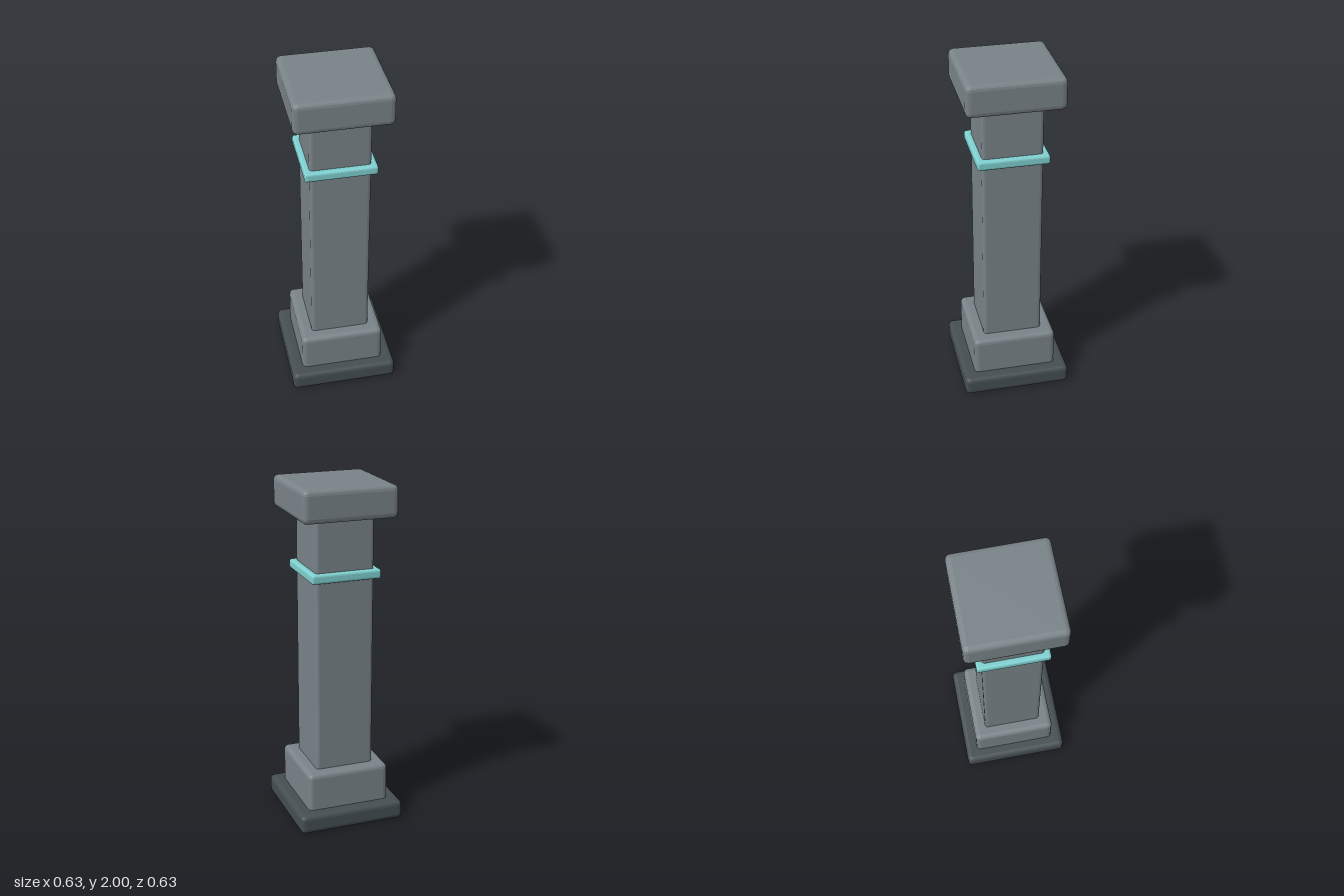
import * as THREE from 'three';
import { RoundedBoxGeometry } from 'three/addons/geometries/RoundedBoxGeometry.js';

function material(name, color) {
  const m = new THREE.MeshStandardMaterial({ color, flatShading: true });
  m.name = name;
  return m;
}

// Square block with bevelled edges, spanning y0..y1
function block(name, width, y0, y1, bevel, mat) {
  const geometry = new RoundedBoxGeometry(width, y1 - y0, width, 2, bevel);
  geometry.computeVertexNormals(); // faceted bevels
  const mesh = new THREE.Mesh(geometry, mat);
  mesh.name = name;
  mesh.position.y = (y0 + y1) / 2;
  return mesh;
}

export function createModel() {
  const stone = material('grey stone', 0x798388);
  const darkStone = material('dark stone', 0x454e52);
  const teal = material('teal trim', 0x7fd0d0);

  const pillar = new THREE.Group();
  pillar.name = 'pillar';
  pillar.add(
    block('base', 0.63, 0, 0.112, 0.028, darkStone),
    // Plinth and shaft run into their neighbours so the joints stay closed
    block('plinth', 0.49, 0.06, 0.335, 0.028, stone),
    block('shaft', 0.346, 0.28, 1.87, 0.02, stone),
    block('band', 0.41, 1.463, 1.517, 0.014, teal),
    block('capital', 0.55, 1.815, 2, 0.03, stone),
  );
  return pillar;
}
